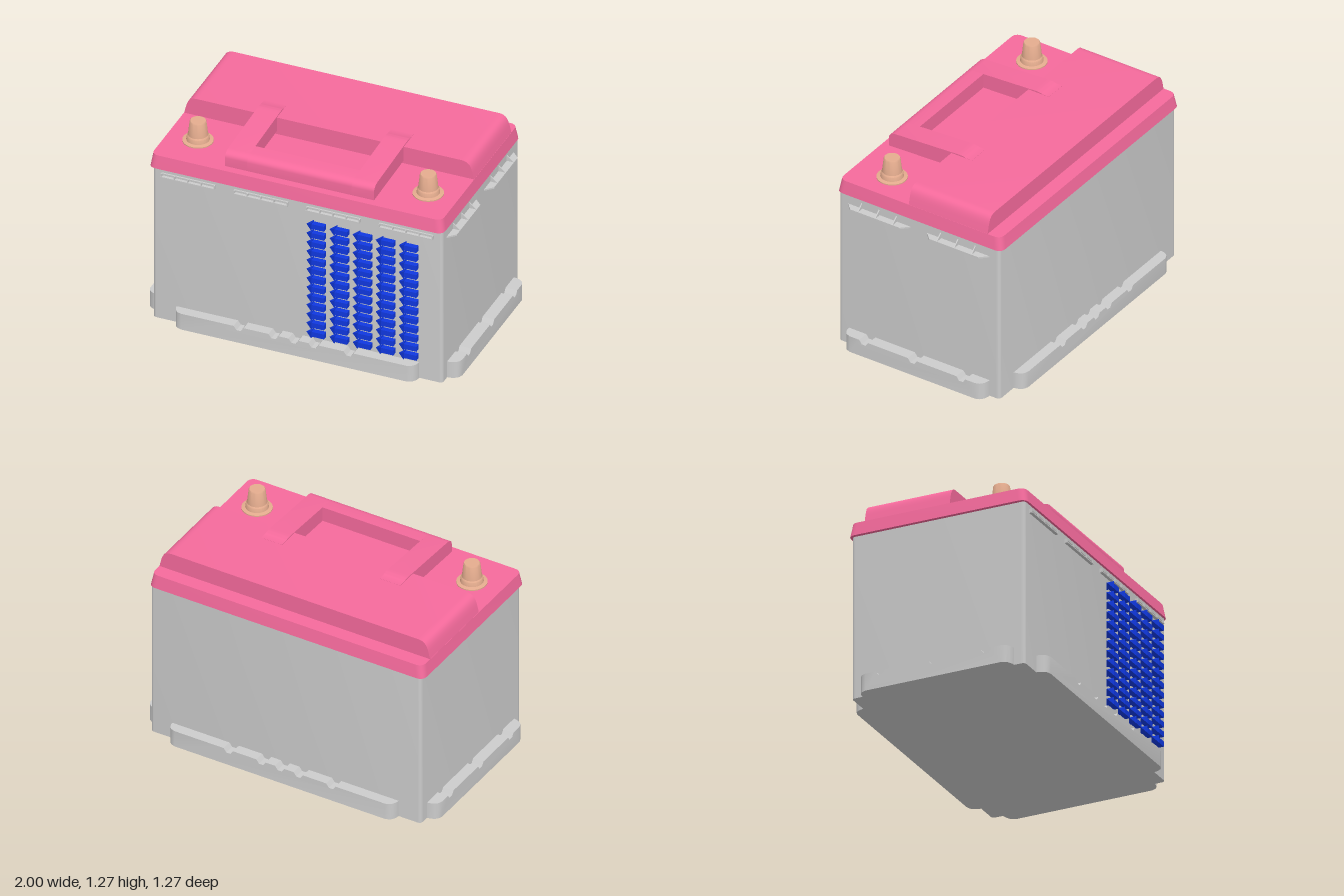
import * as THREE from 'three';
import { toCreasedNormals } from 'three/addons/utils/BufferGeometryUtils.js';

const material = (color) => new THREE.MeshStandardMaterial({ color });
const grey = material(0xcccccc);
const pink = material(0xf56a9c);
const metal = material(0xe4ac8e);
const blue = material(0x1038e0);

function add(parent, name, geometry, mat, x = 0, y = 0, z = 0) {
  const mesh = new THREE.Mesh(geometry, mat);
  mesh.name = name;
  mesh.position.set(x, y, z);
  parent.add(mesh);
  return mesh;
}

function polygon(points) {
  return new THREE.Shape(points.map(([x, y]) => new THREE.Vector2(x, y)));
}

function extrude(shape, depth, steps = 1) {
  return new THREE.ExtrudeGeometry(shape, { depth, steps, bevelEnabled: false, curveSegments: 8 });
}

// Upright block with rounded vertical edges; its top is scaled for a taper
function roundedBlock(w, d, h, r, topX = 1, topZ = 1) {
  const x = w / 2, y = d / 2;
  const s = new THREE.Shape();
  s.moveTo(-x + r, -y);
  s.lineTo(x - r, -y).quadraticCurveTo(x, -y, x, -y + r);
  s.lineTo(x, y - r).quadraticCurveTo(x, y, x - r, y);
  s.lineTo(-x + r, y).quadraticCurveTo(-x, y, -x, y - r);
  s.lineTo(-x, -y + r).quadraticCurveTo(-x, -y, -x + r, -y);
  const g = extrude(s, h).rotateX(-Math.PI / 2);
  const p = g.attributes.position;
  for (let i = 0; i < p.count; i++) {
    if (p.getY(i) > h / 2) p.setXYZ(i, p.getX(i) * topX, p.getY(i), p.getZ(i) * topZ);
  }
  return toCreasedNormals(g, 0.6);
}

// Foot ledge with notches in its top edge and rounded outer corners
function ledgeGeometry(half, notches, depth) {
  const h = 0.11;
  const points = [[-half, 0], [half, 0], [half, h]];
  for (const n of [...notches].reverse()) {
    points.push([n + 0.032, h], [n + 0.014, h - 0.025], [n - 0.014, h - 0.025], [n - 0.032, h]);
  }
  points.push([-half, h]);
  const g = extrude(polygon(points), depth, 8);
  const p = g.attributes.position;
  for (let i = 0; i < p.count; i++) {
    if (Math.abs(p.getX(i)) < half - 0.001) continue;
    const t = Math.min(1, p.getZ(i) / depth);
    const inset = 0.055 * (1 - Math.sqrt(1 - t * t));
    p.setX(i, Math.sign(p.getX(i)) * (half - inset));
  }
  return toCreasedNormals(g, 0.6);
}

export function createModel() {
  const model = new THREE.Group();
  model.name = 'battery';

  // Case and foot ledges
  add(model, 'case', roundedBlock(1.855, 1.14, 1.06, 0.025), grey, -0.002, 0, 0);
  const longLedge = ledgeGeometry(0.777, [-0.352, -0.128, 0, 0.128, 0.352], 0.072);
  const shortLedge = ledgeGeometry(0.5, [-0.345, 0, 0.345], 0.08);
  for (let i = 0; i < 4; i++) {
    const side = new THREE.Group();
    side.rotation.y = (i * Math.PI) / 2;
    side.name = ['frontLedge', 'leftLedge', 'backLedge', 'rightLedge'][i];
    add(side, 'ledge', i % 2 ? shortLedge : longLedge, grey, 0, 0, i % 2 ? 0.92 : 0.565);
    model.add(side);
  }

  // Thin ribbed shelves along the front
  for (const x of [-0.7, -0.233, 0.23, 0.697]) {
    const shelf = new THREE.Group();
    shelf.name = 'frontShelf';
    shelf.position.set(x, 1, 0.577);
    add(shelf, 'plate', new THREE.BoxGeometry(0.345, 0.007, 0.026), grey);
    add(shelf, 'upperPlate', new THREE.BoxGeometry(0.345, 0.006, 0.012), grey, 0, 0.02, -0.003);
    for (const rib of [-0.17, -0.085, 0, 0.085, 0.17]) {
      add(shelf, 'rib', new THREE.BoxGeometry(0.006, 0.022, 0.024), grey, rib, 0.011, 0);
    }
    model.add(shelf);
  }

  // Wider shelves with triangular gussets on the left side
  const plate = extrude(polygon([[-0.225, 0], [0.225, 0], [0.175, 0.05], [-0.175, 0.05]]), 0.01);
  plate.rotateX(Math.PI / 2);
  const gusset = extrude(polygon([[0, 0], [0.047, 0], [0, 0.04]]), 0.007);
  for (const z of [0.285, -0.275]) {
    const shelf = new THREE.Group();
    shelf.name = 'sideShelf';
    shelf.position.set(0.922, 0.988, z);
    add(shelf, 'plate', plate, grey).rotation.y = Math.PI / 2;
    for (const rib of [-0.123, 0, 0.123]) add(shelf, 'gusset', gusset, grey, 0, 0, rib - 0.003);
    model.add(shelf);
  }

  // Lid with a tapered rim and a raised section with rounded ends
  const lid = new THREE.Group();
  lid.name = 'lid';
  lid.position.x = -0.01;
  model.add(lid);
  add(lid, 'rim', roundedBlock(1.886, 1.17, 0.085, 0.05, 0.986, 0.976), pink, 0, 1.05, 0);
  const crown = new THREE.Shape();
  crown.moveTo(-0.932, 1.12);
  crown.lineTo(0.932, 1.12);
  crown.lineTo(0.918, 1.18).bezierCurveTo(0.905, 1.23, 0.89, 1.25, 0.845, 1.25);
  crown.lineTo(-0.845, 1.25).bezierCurveTo(-0.89, 1.25, -0.905, 1.23, -0.918, 1.18);
  add(lid, 'raisedTop', toCreasedNormals(extrude(crown, 0.56), 0.5), pink, 0, 0, -0.48);

  // Carrying handle: a side profile in (z, y) swept along x
  const sweep = (shape, width) => toCreasedNormals(extrude(shape, width).rotateY(-Math.PI / 2), 0.5);
  const nose = () => {
    const s = new THREE.Shape();
    s.moveTo(0.4, 1.143);
    s.lineTo(0.525, 1.138);
    s.lineTo(0.525, 1.195).bezierCurveTo(0.523, 1.22, 0.505, 1.231, 0.475, 1.235);
    return s;
  };
  const bar = nose();
  bar.lineTo(0.4, 1.239);
  const arm = nose();
  arm.lineTo(0.06, 1.257);
  arm.quadraticCurveTo(0.0, 1.262, -0.02, 1.252);
  arm.lineTo(-0.065, 1.251);
  arm.lineTo(-0.065, 1.2);
  arm.lineTo(0.07, 1.155);
  // The sweep maps profile z to model z, and width to -x
  const handle = new THREE.Group();
  handle.name = 'handle';
  const place = (name, shape, x0, x1) => {
    const g = sweep(shape, x1 - x0);
    // Profile x becomes +z after the quarter turn
    add(handle, name, g, pink, x1, 0, 0);
  };
  place('gripBar', bar, -0.345, 0.325);
  place('handleArm', arm, -0.487, -0.345);
  place('handleArm', arm, 0.325, 0.468);
  model.add(handle);

  // Terminals with flange, collar and tapered post
  const post = [
    [0, 1.13], [0.093, 1.13], [0.093, 1.142], [0.07, 1.146], [0.066, 1.172],
    [0.06, 1.18], [0.05, 1.268], [0.046, 1.275], [0, 1.275],
  ].map(([r, y]) => new THREE.Vector2(r, y));
  const terminal = toCreasedNormals(new THREE.LatheGeometry(post, 32), 0.5);
  for (const x of [-0.745, 0.73]) add(model, 'terminal', terminal, metal, x, 0, 0.325);

  // Grid of small arrows hovering before the front, pointing to -x
  const arrows = new THREE.Group();
  arrows.name = 'arrows';
  const shaft = new THREE.BoxGeometry(0.08, 0.034, 0.034);
  const head = new THREE.ConeGeometry(0.034, 0.04, 4).toNonIndexed();
  head.rotateY(Math.PI / 4).rotateZ(Math.PI / 2);
  head.computeVertexNormals();
  for (let col = 0; col < 5; col++) {
    for (let row = 0; row < 13; row++) {
      const x = 0.072 + col * 0.148, y = 0.173 + row * 0.0628;
      add(arrows, 'arrowHead', head, blue, x + 0.02, y, 0.613);
      add(arrows, 'arrowShaft', shaft, blue, x + 0.08, y, 0.613);
    }
  }
  model.add(arrows);

  return model;
}
